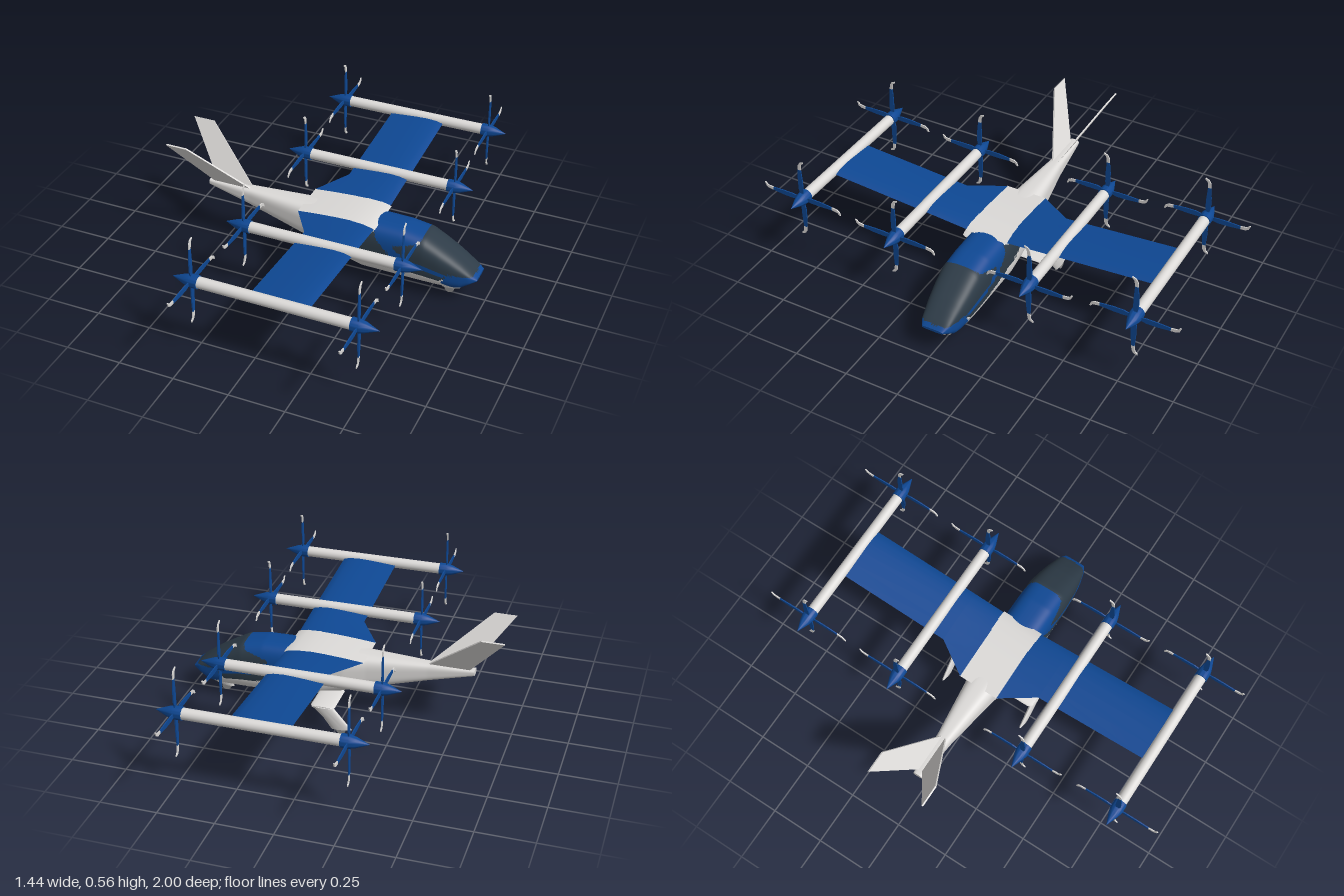
import * as THREE from 'three';
import { toCreasedNormals } from 'three/addons/utils/BufferGeometryUtils.js';

const mat = (name, color, side = THREE.FrontSide) => {
  const m = new THREE.MeshStandardMaterial({ color, side });
  m.name = name;
  return m;
};

// Skin closed rings of points [x, y, z], cap both ends, and turn the faces outward.
// paint(x, y, z) may return a material slot for each face.
function loft(rings, paint) {
  const n = rings[0].length, pos = [], tris = [];
  rings.forEach(r => r.forEach(p => pos.push(...p)));
  for (let i = 0; i < rings.length - 1; i++)
    for (let j = 0; j < n; j++) {
      const a = i * n + j, b = i * n + (j + 1) % n;
      tris.push([a, a + n, b], [b, a + n, b + n]);
    }
  [0, rings.length - 1].forEach((k, end) => {
    const start = pos.length / 3, r = rings[k];
    r.forEach(p => pos.push(...p));
    pos.push(...[0, 1, 2].map(c => r.reduce((s, p) => s + p[c], 0) / n));
    for (let j = 0; j < n; j++) {
      const a = start + j, b = start + (j + 1) % n;
      tris.push(end ? [a, start + n, b] : [a, b, start + n]);
    }
  });
  const v = i => new THREE.Vector3(pos[i * 3], pos[i * 3 + 1], pos[i * 3 + 2]);
  let volume = 0;
  for (const t of tris) volume += v(t[0]).dot(v(t[1]).cross(v(t[2])));
  if (volume < 0) tris.forEach(t => t.reverse());

  const g = new THREE.BufferGeometry();
  g.setAttribute('position', new THREE.Float32BufferAttribute(pos, 3));
  if (paint) {
    const slots = [[], [], []];
    for (const t of tris) {
      const c = v(t[0]).add(v(t[1])).add(v(t[2])).divideScalar(3);
      slots[paint(c.x, c.y, c.z)].push(...t);
    }
    let start = 0;
    slots.forEach((s, k) => { g.addGroup(start, s.length, k); start += s.length; });
    g.setIndex(slots.flat());
  } else g.setIndex(tris.flat());
  g.computeVertexNormals();
  return paint ? g : toCreasedNormals(g, 0.7);
}

// Even-odd test in the side plane
function inside(poly, x, y) {
  let hit = false;
  poly.forEach(([ax, ay], i) => {
    const [bx, by] = poly[(i + 1) % poly.length];
    if (ay > y !== by > y && x < (bx - ax) * (y - ay) / (by - ay) + ax) hit = !hit;
  });
  return hit;
}

// Fuselage stations: x, bottom, top, half width
const STATIONS = [
  [-0.575, 0.272, 0.3, 0.022], [-0.37, 0.218, 0.3, 0.035], [-0.1, 0.147, 0.305, 0.07],
  [0, 0.12, 0.308, 0.09], [0.1, 0.09, 0.309, 0.097], [0.2, 0.064, 0.31, 0.1],
  [0.38, 0.062, 0.306, 0.1], [0.48, 0.062, 0.29, 0.1], [0.55, 0.062, 0.252, 0.094],
  [0.61, 0.063, 0.217, 0.086], [0.65, 0.07, 0.19, 0.078], [0.69, 0.1, 0.16, 0.068],
  [0.72, 0.122, 0.134, 0.05]];
const BLUE_AREA = [[0.24, 0.33], [0.49, 0.33], [0.46, 0.27], [0.34, 0.235], [0.4, 0.19], [0.5, 0.165],
  [0.6, 0.148], [0.73, 0.146], [0.73, 0.09], [0.65, 0.068], [0.57, 0.1], [0.59, 0.135],
  [0.45, 0.16], [0.34, 0.18], [0.27, 0.25]];
const GLASS_AREA = [[0.08, 0.205], [0.26, 0.285], [0.28, 0.33], [0.8, 0.33], [0.8, 0.13],
  [0.59, 0.135], [0.56, 0.11], [0.38, 0.13], [0.2, 0.17]];

function fuselageGeometry() {
  const rings = [], sides = 80, steps = 150;
  for (let i = 0; i <= steps; i++) {
    const x = -0.575 + 1.295 * i / steps;
    let k = 0;
    while (k < STATIONS.length - 2 && STATIONS[k + 1][0] < x) k++;
    const a = STATIONS[k], b = STATIONS[k + 1], t = (x - a[0]) / (b[0] - a[0]);
    const [, lo, hi, w] = a.map((q, c) => q + (b[c] - q) * t);
    const round = s => Math.sign(s) * Math.abs(s) ** 0.62;
    rings.push(Array.from({ length: sides }, (_, j) => {
      const p = j / sides * Math.PI * 2;
      return [x, (lo + hi) / 2 + (hi - lo) / 2 * round(Math.sin(p)), w * round(Math.cos(p))];
    }));
  }
  return loft(rings, (x, y) => inside(BLUE_AREA, x, y) ? 1 : inside(GLASS_AREA, x, y) ? 2 : 0);
}

// Airfoil ring from trailing edge x0 to leading edge x1
function airfoil(x0, x1, y, z, thick) {
  const top = [[0, 0], [0.25, 0.28], [0.5, 0.48], [0.7, 0.56], [0.87, 0.45], [0.97, 0.2], [1, 0]];
  const low = top.slice(1, -1).reverse().map(([u, h]) => [u, -h * 0.8]);
  return [...top, ...low].map(([u, h]) => [x0 + (x1 - x0) * u, y + h * thick, z]);
}

const ellipse = (fn, n = 24) => Array.from({ length: n }, (_, i) => {
  const a = i / n * Math.PI * 2;
  return fn(Math.cos(a), Math.sin(a));
});

export function createModel() {
  const model = new THREE.Group();
  model.name = 'aircraft';
  const white = mat('white paint', 0xdcdad8);
  const blue = mat('blue paint', 0x0e4894);
  const glass = mat('dark glass', 0x2d3b47);
  const rubber = mat('wheel grey', 0x8c8c8c);
  const add = (name, geo, m, parent = model) => {
    const mesh = new THREE.Mesh(geo, m);
    mesh.name = name;
    parent.add(mesh);
    return mesh;
  };
  const plate = (points, depth) => new THREE.ExtrudeGeometry(
    new THREE.Shape(points.map(p => new THREE.Vector2(...p))), { depth, bevelEnabled: false })
    .translate(0, 0, -depth / 2);

  add('fuselage', fuselageGeometry(), [white, blue, glass]);
  add('wingCentre', loft([-0.1, 0.1].map(z => airfoil(-0.1, 0.265, 0.302, z, 0.03))), white);

  // Four-bladed rotor turning about x, blade tips hooked sideways
  function rotor(x, s, parent) {
    const g = new THREE.Group();
    g.name = 'rotor';
    const blade = [[-0.005, 0.01], [-0.014, 0.05], [-0.013, 0.1], [-0.007, 0.155],
      [0.007, 0.155], [0.01, 0.1], [0.01, 0.05], [0.005, 0.01]];
    const tip = [[-0.007, 0.155], [-0.005, 0.178], [0.004, 0.193], [0.022, 0.2],
      [0.022, 0.193], [0.011, 0.184], [0.007, 0.155]];
    for (let i = 0; i < 4; i++) {
      [['blade', blade, blue], ['bladeTip', tip, white]].forEach(([name, pts, m]) =>
        add(name, plate(pts.map(([u, v]) => [u * s, v]), 0.005)
          .rotateY(Math.PI / 2).rotateX(i * Math.PI / 2), m, g));
    }
    g.position.x = x;
    parent.add(g);
  }

  // Rotor boom: white tube, blue spinner at each end
  function boom(y, z) {
    const g = new THREE.Group();
    g.name = 'rotorBoom';
    const turned = pts => new THREE.LatheGeometry(pts.map(p => new THREE.Vector2(...p)), 28)
      .rotateZ(-Math.PI / 2);
    add('boomTube', turned([[0.025, -0.222], [0.025, 0.45]]), white, g);
    const spinner = [[0, -0.002], [0.029, 0], [0.029, 0.036], [0.022, 0.062], [0, 0.118]];
    const front = toCreasedNormals(turned(spinner), 0.5);
    add('frontSpinner', front.clone().translate(0.449, 0, 0), blue, g);
    add('rearSpinner', front.clone().rotateY(Math.PI).translate(-0.218, 0, 0), blue, g);
    rotor(0.48, Math.sign(z), g);
    rotor(-0.25, Math.sign(z), g);
    g.position.set(0, y, z);
    model.add(g);
  }

  const wheel = (name, x, z) => add(name,
    new THREE.CylinderGeometry(0.022, 0.022, 0.014, 28).rotateX(Math.PI / 2).translate(x, 0.022, z), rubber);

  for (const s of [1, -1]) {
    const side = s > 0 ? 'left' : 'right';
    // Wing with widened root and slight dihedral
    add(side + 'Wing', loft([
      airfoil(-0.1, 0.26, 0.302, 0.095 * s, 0.03),
      airfoil(0, 0.26, 0.315, 0.25 * s, 0.025),
      airfoil(0, 0.26, 0.357, 0.8 * s, 0.022)]), blue);
    boom(0.328, 0.325 * s);
    boom(0.36, 0.8 * s);

    // Slanted tail fin
    const fin = plate([[-0.55, 0], [-0.37, 0], [-0.62, 0.252], [-0.72, 0.252]], 0.007);
    add(side + 'TailFin', fin.rotateX(s * 0.52).translate(0, 0.296, 0.01 * s), white);

    // Main gear: sideways strut, swept leg, small wheel
    add(side + 'GearStrut', loft([0.05, 0.2, 0.217].map((z, i) => ellipse((c, q) =>
      [0.055 + c * (i > 1 ? 0.045 : 0.055), 0.116 + q * (i > 1 ? 0.006 : 0.011), z * s]))), white);
    add(side + 'GearLeg', loft([[0.118, 0.05, 0.05, 0.012], [0.07, 0.005, 0.046, 0.011],
      [0.02, -0.035, 0.047, 0.009]].map(([y, x, hx, hz]) =>
      ellipse((c, q) => [x + c * hx, y + c * 0.004 * (y < 0.03 ? -1 : 0), 0.211 * s + q * hz]))), white);
    wheel(side + 'MainWheel', -0.032, 0.211 * s);
  }

  // Nose gear
  add('noseGearLeg', loft([[0.085, 0.61, 0.055, 0.022], [0.05, 0.602, 0.05, 0.018],
    [0.026, 0.592, 0.042, 0.011]].map(([y, x, hx, hz]) =>
    ellipse((c, q) => [x + c * hx, y + (y < 0.03 ? c * 0.006 : 0), q * hz]))), white);
  wheel('noseWheel', 0.585, 0);
  return model;
}
